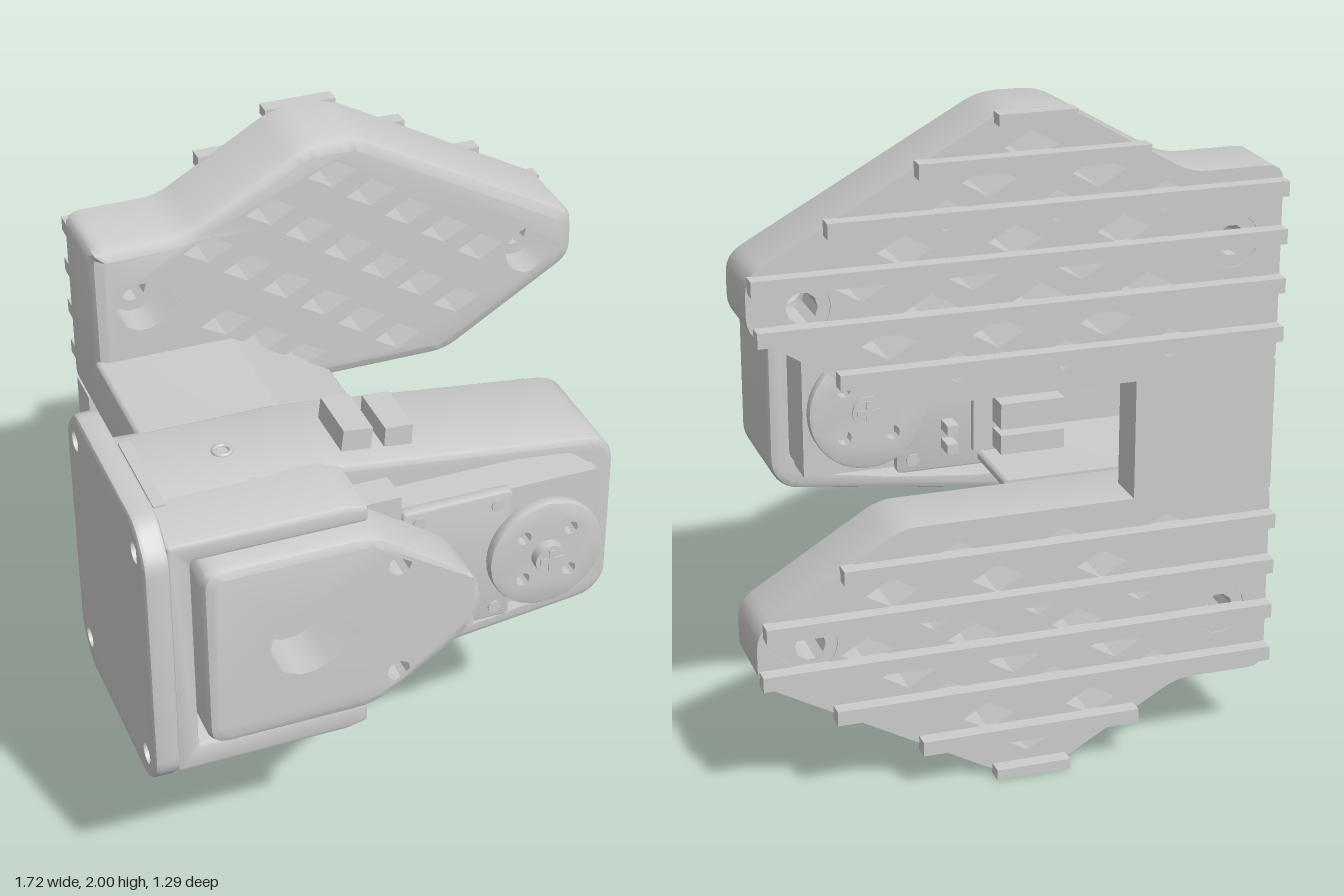
import * as THREE from 'three';
import { toCreasedNormals } from 'three/addons/utils/BufferGeometryUtils.js';

const material = new THREE.MeshStandardMaterial({ color: 0xcccccc, side: THREE.DoubleSide });
const V = (x, y) => new THREE.Vector2(x, y);

function add(parent, name, geometry) {
  const mesh = new THREE.Mesh(geometry, material);
  mesh.name = name;
  parent.add(mesh);
  return mesh;
}

// Corner points -> outline with rounded corners
function rounded(corners, r) {
  const p = corners.map(([x, y]) => V(x, y)), out = [];
  p.forEach((c, i) => {
    const a = p[(i + p.length - 1) % p.length], b = p[(i + 1) % p.length];
    const from = c.clone().lerp(a, Math.min(r / c.distanceTo(a), 0.45));
    const to = c.clone().lerp(b, Math.min(r / c.distanceTo(b), 0.45));
    const curve = new THREE.QuadraticBezierCurve(from, c, to);
    out.push(...curve.getPoints(4));
  });
  return out;
}

const circle = (x, y, r, n = 20) => Array.from({ length: n }, (_, i) =>
  V(x + r * Math.cos(i * 2 * Math.PI / n), y + r * Math.sin(i * 2 * Math.PI / n)));

// Circle drawn out to a point towards +x
const teardrop = (x, y, r, tip) => [V(x + tip, y), ...Array.from({ length: 11 }, (_, i) => {
  const a = Math.PI * (0.27 + 1.46 * i / 10);
  return V(x + r * Math.cos(a), y + r * Math.sin(a));
})];

// Extrude an outline with holes through a profile of [z, inset] steps
function loft(points, profile, holes = []) {
  const pts = THREE.ShapeUtils.isClockWise(points) ? [...points].reverse() : points;
  const key = (x, y) => x.toFixed(3) + ',' + y.toFixed(3);
  const inward = new Map();
  pts.forEach((c, i) => {
    const a = pts[(i + pts.length - 1) % pts.length], b = pts[(i + 1) % pts.length];
    const d1 = c.clone().sub(a).normalize(), d2 = b.clone().sub(c).normalize();
    const n = V(-d1.y - d2.y, d1.x + d2.x).normalize();
    n.divideScalar(Math.max(0.5, n.dot(V(-d1.y, d1.x))));
    inward.set(key(c.x, c.y), n);
  });
  const shape = new THREE.Shape(pts);
  holes.forEach(h => shape.holes.push(new THREE.Path(h)));
  const steps = profile.length - 1;
  const geo = new THREE.ExtrudeGeometry(shape, { depth: steps, steps, bevelEnabled: false });
  const pos = geo.attributes.position;
  for (let i = 0; i < pos.count; i++) {
    const [z, inset] = profile[Math.round(pos.getZ(i))];
    const x = pos.getX(i), y = pos.getY(i), n = inward.get(key(x, y));
    pos.setXYZ(i, x + (n ? n.x * inset : 0), y + (n ? n.y * inset : 0), z);
  }
  return toCreasedNormals(geo, 0.6);
}

// Profiles with a rounded front edge, or with both edges rounded
const front = (a, b, r) => [[a, 0], [b - r, 0], [b - r * 0.3, r * 0.3], [b, r]];
const both = (a, b, r) => [[a, r], [a + r * 0.3, r * 0.3], [a + r, 0], ...front(a, b, r).slice(1)];

function box(parent, name, x0, x1, y0, y1, z0, z1) {
  const m = add(parent, name, new THREE.BoxGeometry(x1 - x0, y1 - y0, z1 - z0));
  m.position.set((x0 + x1) / 2, (y0 + y1) / 2, (z0 + z1) / 2);
  return m;
}

function disc(parent, name, x, y, r, z0, z1, sides = 32) {
  const g = new THREE.CylinderGeometry(r, r, z1 - z0, sides).rotateX(Math.PI / 2);
  add(parent, name, g).position.set(x, y, (z0 + z1) / 2);
}

// Perforated paddle with its arm and grip ribs; s = 1 upper, -1 lower
function createPaddle(s) {
  const group = new THREE.Group();
  group.name = s > 0 ? 'upperPaddle' : 'lowerPaddle';
  const Y = y => 1 + s * (y - 1);
  const flip = list => list.map(([x, y]) => [x, Y(y)]);
  const outline = rounded(flip([[-0.7, 1.18], [-0.7, 1.78], [-0.42, 1.78], [-0.04, 2],
    [0.13, 2], [0.855, 1.6], [0.855, 1.44], [0.43, 1.18]]), 0.05);
  const screws = [[-0.55, Y(1.57), 0.12], [0.7, Y(1.5), 0.12]];
  const inside = (x, y) => {
    let hit = false;
    outline.forEach((a, i) => {
      const b = outline[(i + 1) % outline.length];
      if ((a.y > y) !== (b.y > y) && x < a.x + (b.x - a.x) * (y - a.y) / (b.y - a.y)) hit = !hit;
    });
    return hit;
  };
  // Slanted lattice of diamond holes
  const holes = screws.map(([x, y, tip]) => teardrop(x, y, 0.08, tip));
  for (let j = 0; j < 9; j++) for (let i = -6; i < 4; i++) {
    const x = 0.05 + 0.121 * j + 0.317 * i, y = Y(1.894 - 0.087 * j);
    const corners = [[0.078, 0], [0, 0.045], [-0.078, 0], [0, -0.045]];
    if (x < -0.4 || screws.some(c => Math.hypot(c[0] + 0.02 - x, c[1] - y) < 0.18)) continue;
    if (corners.every(([u, v]) => inside(x + u * 1.45, y + v * 1.6)))
      holes.push(corners.map(([u, v]) => V(x + u, y + v)));
  }
  add(group, 'paddlePlate', loft(outline, front(-0.605, -0.34, 0.04), holes));
  for (const [x, y, tip] of screws)
    add(group, 'screwSeat', loft(teardrop(x, y, 0.082, tip), [[-0.6, 0], [-0.46, 0]], [circle(x, y, 0.045, 10)]));
  // Grip ribs run the width of the back
  for (const y of [1.29, 1.435, 1.58, 1.72, 1.86, 1.983]) {
    const xs = [];
    outline.forEach((a, i) => {
      const b = outline[(i + 1) % outline.length];
      if ((a.y > Y(y)) !== (b.y > Y(y))) xs.push(a.x + (b.x - a.x) * (Y(y) - a.y) / (b.y - a.y));
    });
    const h = y > 1.95 ? 0.016 : 0.022;
    box(group, 'gripRib', Math.min(...xs), Math.max(...xs), Y(y) - h, Y(y) + h, -0.65, -0.6);
  }
  const arm = rounded(flip([[-0.7, 1.18], [-0.7, 1.4], [-0.28, 1.4], [0.04, 1.21], [0.04, 1.18]]), 0.015);
  add(group, 'paddleArm', loft(arm, [[-0.36, 0], [0.05, 0]]));
  return group;
}

// Round horn with four holes, hub and cross screw; dir = facing along z
function createHorn(z, dir) {
  const group = new THREE.Group();
  group.name = dir > 0 ? 'frontHorn' : 'backHorn';
  const holes = [45, 135, 225, 315].map(a =>
    circle(0.105 * Math.cos(a * Math.PI / 180), 0.105 * Math.sin(a * Math.PI / 180), 0.022, 10));
  add(group, 'hornDisc', loft(circle(0, 0, 0.18, 40), both(0, 0.038, 0.006), holes));
  disc(group, 'hornShaft', 0, 0, 0.08, -0.05, 0.001);
  disc(group, 'hornHub', 0, 0, 0.05, 0, dir > 0 ? 0.07 : 0.045, 20);
  const top = dir > 0 ? 0.07 : 0.045;
  box(group, 'screwCross', -0.035, 0.035, -0.009, 0.009, top, top + 0.004);
  box(group, 'screwCross', -0.009, 0.009, -0.035, 0.035, top, top + 0.004);
  group.position.set(0.39, 1, z);
  if (dir < 0) group.rotation.y = Math.PI;
  return group;
}

export function createModel() {
  const model = new THREE.Group();
  model.name = 'gripper';

  // Paddles and the plate joining them
  model.add(createPaddle(1), createPaddle(-1));
  box(model, 'joiningPlate', -0.7, -0.27, 0.8, 1.2, -0.605, -0.48);

  // Tapered housing with a pocket for the motor
  const housing = rounded([[-0.79, 0.6], [-0.28, 0.6], [0.6, 0.71], [0.65, 0.77],
    [0.65, 1.23], [0.6, 1.29], [-0.28, 1.4], [-0.79, 1.4]], 0.04);
  const pocket = rounded([[-0.2, 0.68], [0, 0.68], [0.5, 0.735], [0.59, 0.81],
    [0.59, 1.19], [0.5, 1.265], [0, 1.32], [-0.2, 1.32]], 0.03);
  add(model, 'housing', loft(housing, both(0.035, 0.4, 0.02), [pocket]));
  box(model, 'pocketFloor', -0.22, 0.595, 0.72, 1.28, 0.11, 0.31);

  // Raised frame and the cover sitting in it
  const frame = rounded([[-0.79, 0.6], [-0.27, 0.6], [-0.205, 0.615], [-0.205, 0.685], [-0.722, 0.685],
    [-0.722, 1.335], [-0.205, 1.335], [-0.205, 1.385], [-0.27, 1.4], [-0.79, 1.4]], 0.012);
  add(model, 'coverFrame', loft(frame, front(0.37, 0.6, 0.014)));
  const cover = rounded([[-0.705, 0.7], [-0.2, 0.7], [0.06, 0.87], [0.13, 0.95],
    [0.13, 1.05], [0.06, 1.13], [-0.2, 1.315], [-0.705, 1.315]], 0.06);
  add(model, 'cover', loft(cover, front(0.47, 0.645, 0.03),
    [teardrop(-0.41, 1, 0.11, 0.17), circle(-0.13, 1.195, 0.035, 10), circle(-0.13, 0.815, 0.035, 10)]));
  box(model, 'coverBase', -0.7, -0.06, 0.72, 1.3, 0.37, 0.48);

  // Motor
  box(model, 'motorBody', -0.05, 0.575, 0.79, 1.21, -0.08, 0.44);
  for (const [a, b] of [[-0.105, -0.07], [0.43, 0.47]]) {
    const plate = rounded([[-0.05, 0.775], [0.295, 0.775], [0.295, 1.225], [-0.05, 1.225]], 0.02);
    add(model, 'motorPlate', loft(plate, both(a, b, 0.006)));
    for (const y of [0.815, 1.185])
      for (const x of [0, 0.245]) disc(model, 'motorScrew', x, y, 0.02, a - 0.006, b + 0.006, 12);
  }
  model.add(createHorn(0.475, 1), createHorn(-0.103, -1));
  for (const y of [0.86, 0.92, 1.08, 1.14]) box(model, 'connectorPin', 0.12, 0.155, y - 0.015, y + 0.015, -0.17, -0.1);
  box(model, 'motorSocket', -0.05, 0.06, 0.83, 1.17, -0.13, -0.08);
  box(model, 'motorPlug', -0.2, 0.0, 0.92, 1.0, -0.21, -0.08);
  box(model, 'motorPlug', -0.2, 0.0, 0.84, 0.9, -0.21, -0.08);

  // Mounting flange with four holes
  const flange = rounded([[-0.13, 0.63], [-0.04, 0.54], [0.53, 0.54], [0.62, 0.63],
    [0.62, 1.37], [0.53, 1.46], [-0.04, 1.46], [-0.13, 1.37]], 0.04);
  const bolts = [-0.04, 0.53].flatMap(z => [0.64, 1.36].map(y => circle(z, y, 0.032, 14)));
  add(model, 'mountingFlange', loft(flange, both(0.785, 0.86, 0.015), bolts).rotateY(-Math.PI / 2));

  // Fittings on top of the housing
  box(model, 'topClip', -0.18, -0.09, 1.36, 1.45, 0.14, 0.325).rotation.z = -0.12;
  box(model, 'topClip', -0.05, 0.035, 1.34, 1.43, 0.14, 0.325).rotation.z = -0.06;
  box(model, 'topRidge', -0.765, -0.73, 1.39, 1.405, 0.08, 0.41);
  add(model, 'topScrew', new THREE.TorusGeometry(0.025, 0.008, 8, 20).rotateX(Math.PI / 2)).position.set(-0.5, 1.4, 0.215);
  return model;
}
